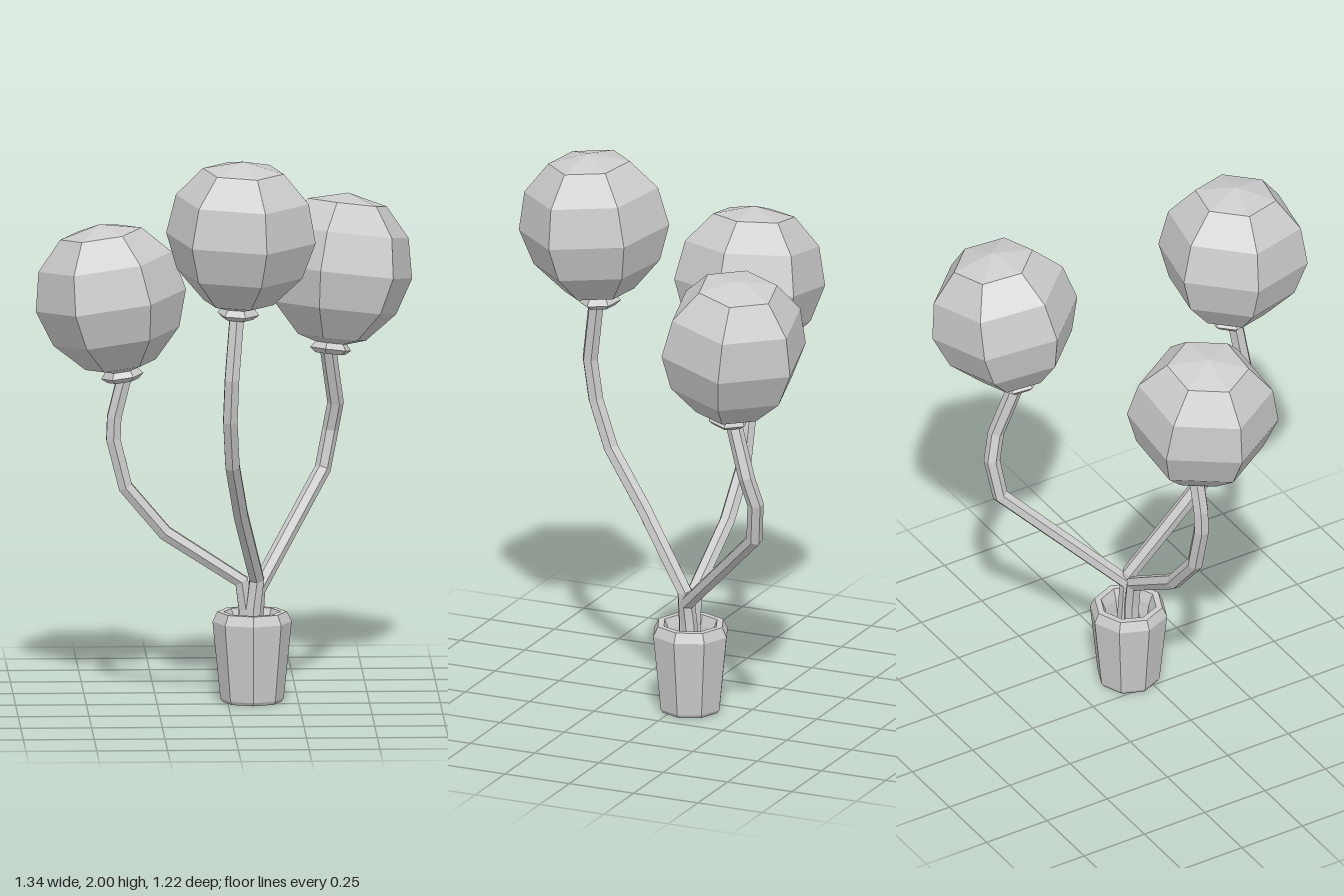
import * as THREE from 'three';

const material = new THREE.MeshStandardMaterial({ color: 0xcccccc, flatShading: true });
const UP = new THREE.Vector3(0, 1, 0);

// Straight-sided path whose rings fall exactly on the given points
class Polyline extends THREE.Curve {
  constructor(points) {
    super();
    this.points = points.map((p) => new THREE.Vector3(...p));
  }
  getPoint(t, target = new THREE.Vector3()) {
    const f = THREE.MathUtils.clamp(t, 0, 1) * (this.points.length - 1);
    const i = Math.min(Math.floor(f), this.points.length - 2);
    return target.lerpVectors(this.points[i], this.points[i + 1], f - i);
  }
  getPointAt(t, target) {
    return this.getPoint(t, target);
  }
  getTangentAt(t, target = new THREE.Vector3()) {
    const last = this.points.length - 1;
    const i = Math.round(t * last);
    const p = this.points;
    const direction = (a, b) => new THREE.Vector3().subVectors(p[b], p[a]).normalize();
    const before = direction(Math.max(i - 1, 0), Math.max(i, 1));
    const after = direction(Math.min(i, last - 1), Math.min(i + 1, last));
    return target.addVectors(before, after).normalize();
  }
}

function lathe(name, profile, sides) {
  const points = profile.map(([r, y]) => new THREE.Vector2(r, y));
  const mesh = new THREE.Mesh(new THREE.LatheGeometry(points, sides), material);
  mesh.name = name;
  return mesh;
}

// Faceted globe on a flared collar, standing on its base and leaning towards its tip
function createGlobe(base, tip, hexAngle) {
  const group = new THREE.Group();
  group.name = 'globe';
  const from = new THREE.Vector3(...base);
  const axis = new THREE.Vector3(...tip).sub(from);
  const height = axis.length();
  const radius = 0.268;
  const profile = [[0, 0], [0.125, 0.036], [0.225, 0.14], [radius, 0.27],
    [0.238, 0.41], [0.145, 0.512], [0, 0.546]];
  const body = lathe('globeBody', profile.map(([r, y]) => [r, y * height / 0.546]), 6);
  const collar = lathe('collar',
    [[0.02, -0.02], [0.055, -0.022], [0.075, -0.005], [0.052, 0.025]], 6);
  group.add(body, collar);
  for (const mesh of group.children) mesh.rotation.y = THREE.MathUtils.degToRad(90 - hexAngle);
  group.quaternion.setFromUnitVectors(UP, axis.normalize());
  group.position.copy(from);
  return group;
}

export function createModel() {
  const model = new THREE.Group();
  model.name = 'pottedGlobePlant';

  // Eight-sided pot with chamfered rim and recessed floor
  const pot = lathe('pot', [[0, 0], [0.104, 0], [0.112, 0.012], [0.14, 0.287], [0.123, 0.322],
    [0.1, 0.322], [0.085, 0.285], [0.07, 0.2], [0, 0.2]], 8);
  pot.position.set(0.087, 0, -0.05);
  model.add(pot);

  // Each stem path with the globe that it carries
  const branches = [
    {
      name: 'rightBranch',
      path: [[0.065, 0.2, -0.05], [0.065, 0.33, -0.05], [0.05, 0.43, -0.05], [-0.22, 0.605, -0.05],
        [-0.36, 0.77, -0.05], [-0.403, 0.94, -0.05], [-0.4, 1.02, -0.05], [-0.36, 1.18, -0.05]],
      base: [-0.372, 1.172, -0.05], tip: [-0.452, 1.71, -0.05], hexAngle: 0,
    },
    {
      name: 'frontBranch',
      path: [[0.085, 0.2, -0.035], [0.09, 0.33, -0.035], [0.103, 0.44, -0.035], [0.04, 0.7, 0.15],
        [0.005, 0.9, 0.297], [-0.005, 1.07, 0.36], [0, 1.22, 0.38], [0.02, 1.46, 0.345]],
      base: [0.024, 1.455, 0.332], tip: [0.042, 2, 0.368], hexAngle: 12,
    },
    {
      name: 'leftBranch',
      path: [[0.1, 0.2, -0.06], [0.1, 0.33, -0.05], [0.105, 0.4, -0.045], [0.35, 0.77, -0.42],
        [0.378, 0.91, -0.437], [0.395, 1.01, -0.41], [0.365, 1.22, -0.34]],
      base: [0.375, 1.218, -0.332], tip: [0.44, 1.76, -0.4], hexAngle: 47,
    },
  ];
  for (const { name, path, base, tip, hexAngle } of branches) {
    const branch = new THREE.Group();
    branch.name = name;
    const stem = new THREE.Mesh(
      new THREE.TubeGeometry(new Polyline(path), path.length - 1, 0.029, 6), material);
    stem.name = 'stem';
    branch.add(stem, createGlobe(base, tip, hexAngle));
    model.add(branch);
  }
  return model;
}
